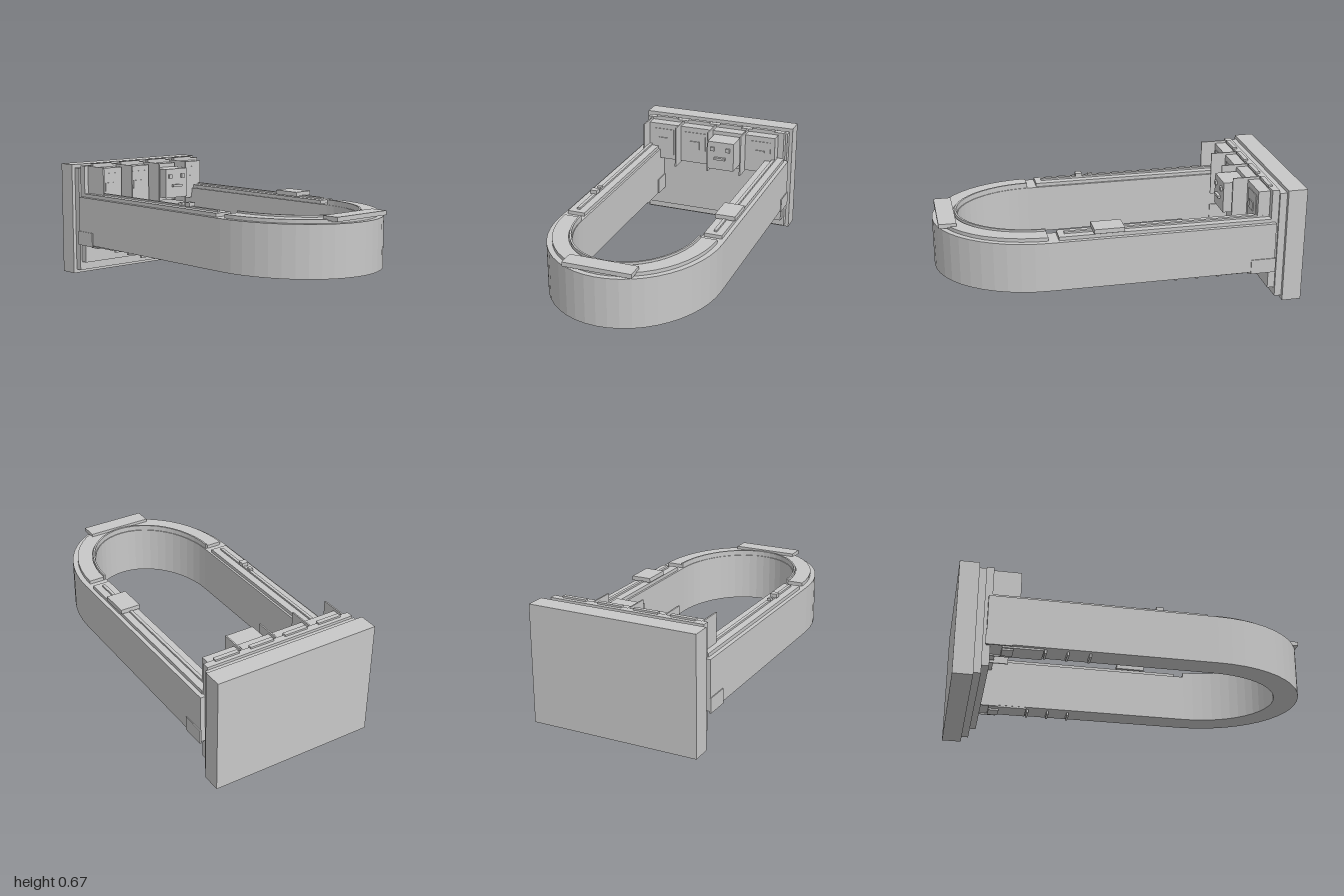
import * as THREE from 'three';

export function createModel() {
  const model = new THREE.Group();
  const grey = new THREE.MeshStandardMaterial({ color: 0xc8c8c8 });
  grey.name = 'light grey';

  // Box given by its limits on each axis
  function box(name, x0, x1, y0, y1, z0, z1, parent = model) {
    const mesh = new THREE.Mesh(new THREE.BoxGeometry(x1 - x0, y1 - y0, z1 - z0), grey);
    mesh.position.set((x0 + x1) / 2, (y0 + y1) / 2, (z0 + z1) / 2);
    mesh.name = name;
    parent.add(mesh);
    return mesh;
  }

  // Elliptical U lying flat, open towards the back
  const bendZ = 0.42;
  function horseshoe(name, outerX, outerZ, innerX, innerZ, backZ, y0, y1) {
    const s = new THREE.Shape();
    s.moveTo(outerX, backZ);
    if (backZ < bendZ) s.lineTo(outerX, bendZ);
    s.absellipse(0, bendZ, outerX, outerZ - bendZ, 0, Math.PI, false);
    if (backZ < bendZ) s.lineTo(-outerX, backZ);
    s.lineTo(-innerX, backZ);
    if (backZ < bendZ) s.lineTo(-innerX, bendZ);
    s.absellipse(0, bendZ, innerX, innerZ - bendZ, Math.PI, 0, true);
    if (backZ < bendZ) s.lineTo(innerX, backZ);
    const geometry = new THREE.ExtrudeGeometry(s, { depth: y1 - y0, bevelEnabled: false, curveSegments: 12 });
    geometry.rotateX(Math.PI / 2);
    const mesh = new THREE.Mesh(geometry, grey);
    mesh.position.y = y1;
    mesh.name = name;
    model.add(mesh);
  }

  // Stepped back wall
  box('backWall', -0.478, 0.478, 0, 0.66, -1, -0.892);
  box('wallStep', -0.457, 0.457, 0.022, 0.64, -0.892, -0.852);
  box('wallFace', -0.445, 0.445, 0.072, 0.655, -0.852, -0.812);

  // Main rail with its bend trim
  horseshoe('rail', 0.473, 1, 0.338, 0.86, -0.835, 0.19, 0.47);
  horseshoe('bendTrim', 0.443, 0.97, 0.355, 0.885, bendZ, 0.47, 0.49);
  horseshoe('innerLip', 0.352, 0.876, 0.342, 0.865, bendZ, 0.47, 0.5);
  box('frontPlate', -0.19, 0.19, 0.483, 0.507, 0.88, 0.977);

  // Mirrored arm details
  for (const side of [-1, 1]) {
    const arm = new THREE.Group();
    arm.name = side < 0 ? 'rightArmDetails' : 'leftArmDetails';
    model.add(arm);
    const part = (name, x0, x1, ...rest) =>
      box(name, side < 0 ? -x1 : x0, side < 0 ? -x0 : x1, ...rest, arm);
    part('armTrim', 0.35, 0.45, 0.47, 0.49, -0.812, 0.365);
    part('armRib', 0.392, 0.41, 0.49, 0.5, -0.812, 0.33);
    part('outerBracket', 0.47, 0.478, 0.182, 0.265, -0.84, -0.7);
    part('innerBracket', 0.332, 0.34, 0.182, 0.275, -0.84, -0.7);
    part('underPlate', 0.34, 0.455, 0.18, 0.191, -0.75, -0.53);
    part('underBlock', 0.37, 0.445, 0.17, 0.185, -0.75, -0.69);
    for (const z of [-0.28, -0.4, -0.52])
      part('underSlat', 0.37, 0.445, 0.17, 0.191, z - 0.006, z + 0.006);
  }

  // Small fittings on top of the arms
  box('wideFitting', 0.345, 0.46, 0.495, 0.52, 0.01, 0.177);
  box('smallFitting', -0.425, -0.386, 0.497, 0.52, 0.083, 0.122);
  box('smallPeg', -0.416, -0.396, 0.497, 0.512, 0.02, 0.048);

  // Four bays on the wall, the third holding a face block
  [-0.315, -0.105, 0.105, 0.315].forEach((cx, i) => {
    const bay = new THREE.Group();
    bay.name = 'bay' + (i + 1);
    model.add(bay);
    box('bayPanel', cx - 0.094, cx + 0.094, 0.41, 0.64, -0.815, -0.745, bay);
    box('bayDivider', cx - 0.104, cx - 0.096, 0.4, 0.653, -0.815, -0.66, bay);
    box('bayCap', cx - 0.07, cx + 0.07, 0.65, 0.665, -0.83, -0.806, bay);
    if (i === 2) {
      box('faceBlock', 0.022, 0.188, 0.44, 0.617, -0.75, -0.617, bay);
      for (const ex of [0.054, 0.152]) box('eye', ex - 0.012, ex + 0.012, 0.56, 0.584, -0.617, -0.606, bay);
      box('mouth', 0.068, 0.138, 0.507, 0.521, -0.617, -0.6, bay);
    } else {
      box('bayPlate', cx - 0.067, cx + 0.067, 0.44, 0.608, -0.745, -0.741, bay);
      box('bayButton', cx - 0.03, cx + 0.03, 0.502, 0.552, -0.741, -0.735, bay);
    }
  });

  return model;
}
